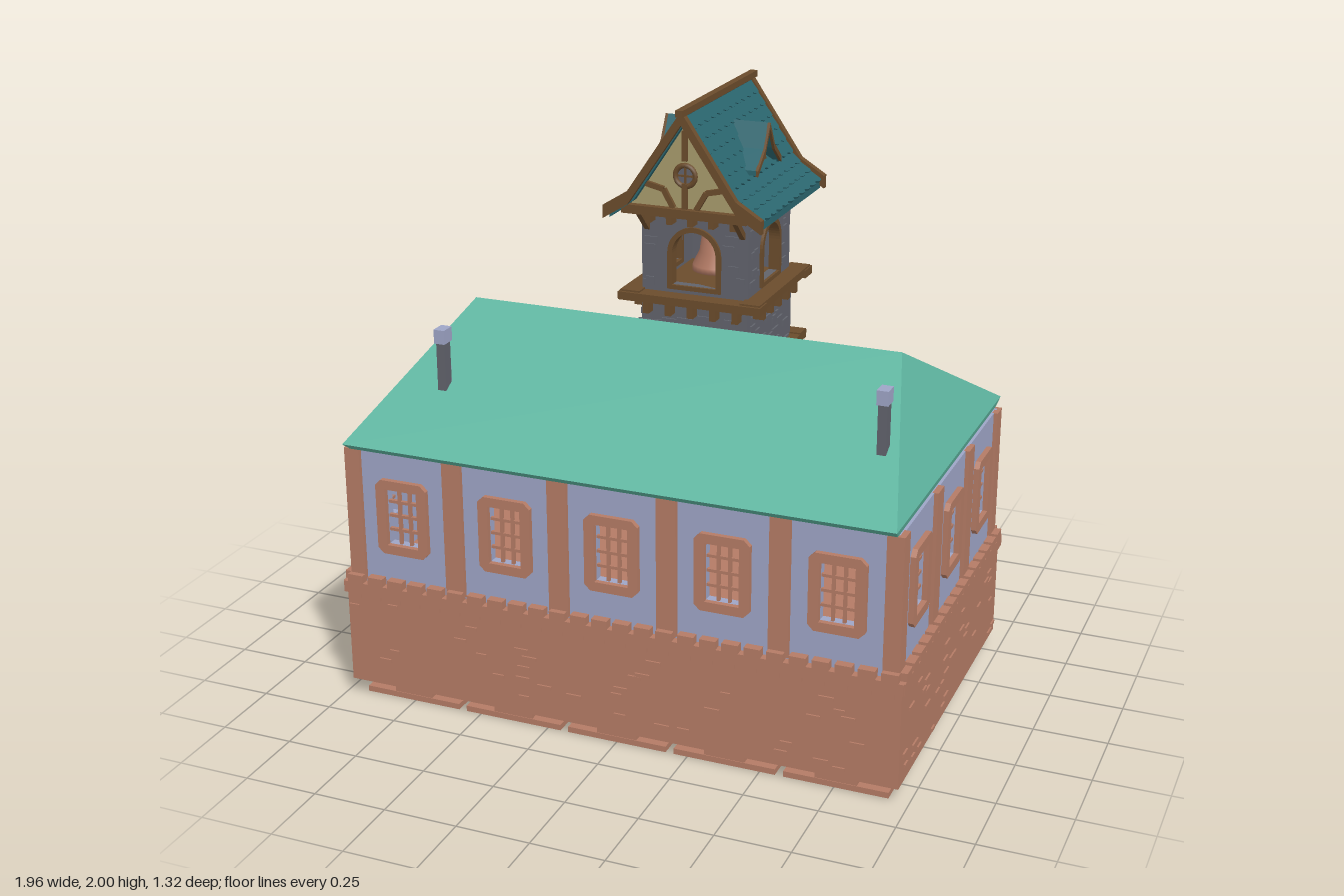
import * as THREE from 'three';
import { mergeGeometries } from 'three/addons/utils/BufferGeometryUtils.js';
import { ConvexGeometry } from 'three/addons/geometries/ConvexGeometry.js';

const mat = (name, color) => new THREE.MeshStandardMaterial({ name, color });
const brick = mat('terracotta', 0xb47b65), plaster = mat('lavender plaster', 0x9ea5c6);
const green = mat('green roof', 0x5fb5a0), stone = mat('dark stone', 0x61636c);
const wood = mat('brown wood', 0x6b4c2c), teal = mat('teal shingles', 0x2b666f);
const tan = mat('tan infill', 0xa89c6c), pale = mat('pale panel', 0xaeb2b0), dark = mat('dark iron', 0x2f3034);
const CZ = 0.04, TZ = -0.29; // depth centres of the hall and the tower
let seed = 7;
const rnd = () => (seed = (seed * 16807) % 2147483647) / 2147483647;

const boxGeo = (w, h, d, x, y, z) => new THREE.BoxGeometry(w, h, d).translate(x, y, z);
function add(parent, name, geo, material) {
  const mesh = new THREE.Mesh(Array.isArray(geo) ? mergeGeometries(geo) : geo, material);
  mesh.name = name;
  parent.add(mesh);
  return mesh;
}
function group(parent, name, x = 0, y = 0, z = 0, ry = 0) {
  const g = new THREE.Group();
  g.name = name;
  g.position.set(x, y, z);
  g.rotation.y = ry;
  parent.add(g);
  return g;
}
const poly = (pts, C = THREE.Shape) => new C(pts.map(p => new THREE.Vector2(...p)));
const rect = (x, y, w, h, C) => poly([[x - w / 2, y - h / 2], [x + w / 2, y - h / 2], [x + w / 2, y + h / 2], [x - w / 2, y + h / 2]], C);
const extrude = (shape, depth, z = 0) =>
  new THREE.ExtrudeGeometry(shape, { depth, bevelEnabled: false, curveSegments: 12 }).translate(0, 0, z);
function arch(r, y0, y1, C = THREE.Shape) {
  const s = new C();
  s.moveTo(-r, y0);
  s.lineTo(r, y0);
  s.lineTo(r, y1 - r);
  s.absarc(0, y1 - r, r, 0, Math.PI, false);
  s.lineTo(-r, y0);
  return s;
}
// thin blocks scattered over a wall that faces +z
function blocks(w, y0, y1, n, bw, bh, skip = () => false) {
  const list = [];
  for (let i = 0; i < n; i++) {
    const x = (rnd() - 0.5) * (w - bw), y = y0 + bh / 2 + rnd() * (y1 - y0 - bh);
    if (!skip(x, y)) list.push(boxGeo(bw * (0.7 + rnd() * 0.5), bh, 0.012, x, y, 0));
  }
  return list;
}
// beam between two points in the xy plane
function beam(a, b, t, d, z) {
  const dx = b[0] - a[0], dy = b[1] - a[1];
  return new THREE.BoxGeometry(Math.hypot(dx, dy), t, d).rotateZ(Math.atan2(dy, dx))
    .translate((a[0] + b[0]) / 2, (a[1] + b[1]) / 2, z);
}

// upper storey wall with windows and pilasters; outer plaster face at z = 0
function hallWall(parent, name, w, n, pos, ry, skipMiddle) {
  const g = group(parent, name, pos[0], 0, pos[1], ry);
  const wall = rect(0, 0.67, w, 0.48), frames = [], bars = [], posts = [];
  for (let i = 0; i < n; i++) {
    const x = (i - (n - 1) / 2) * 0.376, y = 0.685;
    if (skipMiddle && i === (n - 1) / 2) continue;
    wall.holes.push(rect(x, y, 0.115, 0.2, THREE.Path));
    const a = 0.093, b = 0.132, c = 0.02;
    const f = poly([[x - a + c, y - b], [x + a - c, y - b], [x + a, y - b + c], [x + a, y + b - c],
      [x + a - c, y + b], [x - a + c, y + b], [x - a, y + b - c], [x - a, y - b + c]]);
    f.holes.push(rect(x, y, 0.115, 0.2, THREE.Path));
    frames.push(extrude(f, 0.018));
    for (const k of [-1, 1]) bars.push(boxGeo(0.01, 0.2, 0.012, x + k * 0.019, y, -0.01));
    for (const k of [-1, 0, 1]) bars.push(boxGeo(0.115, 0.01, 0.012, x, y + k * 0.05, -0.01));
  }
  for (let i = 0; i <= n; i++) {
    const end = i === 0 ? 1 : i === n ? -1 : 0;
    posts.push(boxGeo(end ? 0.055 : 0.068, 0.47, 0.02, (i - n / 2) * 0.376 + end * 0.01, 0.675, 0.004));
  }
  add(g, 'wall', extrude(wall, 0.03, -0.03), plaster);
  add(g, 'windowFrames', frames, brick);
  add(g, 'windowBars', bars, brick);
  add(g, 'pilasters', posts, brick);
}

// lower storey wall with battlement ledge; outer face at z = 0
function baseWall(parent, name, w, pos, ry, door) {
  const g = group(parent, name, pos[0], 0, pos[1], ry);
  const s = rect(0, 0.245, w, 0.37);
  if (door) {
    const out = [[-w / 2, 0.06], [-0.1, 0.06]];
    for (let i = 0; i <= 10; i++) out.push([-0.1 * Math.cos(i * Math.PI / 10), 0.11 + 0.1 * Math.sin(i * Math.PI / 10)]);
    out.push([0.1, 0.06], [w / 2, 0.06], [w / 2, 0.43], [-w / 2, 0.43]);
    s.setFromPoints(out.map(p => new THREE.Vector2(...p)));
    const ring = arch(0.13, 0.06, 0.24);
    ring.holes.push(arch(0.1, 0.061, 0.21, THREE.Path));
    add(g, 'doorArch', extrude(ring, 0.02), brick);
    add(g, 'palePanels', [-0.76, -0.38, 0.38, 0.76].map(x => boxGeo(0.13, 0.19, 0.009, x, 0.285, 0.007)), pale);
    add(g, 'panelFrames', [-0.76, -0.38, 0.38, 0.76].map(x => boxGeo(0.145, 0.205, 0.006, x, 0.285, 0.002)), brick);
  }
  add(g, 'wall', extrude(s, 0.03, -0.03), brick);
  const ledge = [boxGeo(w + 0.015, 0.04, 0.03, 0, 0.412, -0.004)], n = Math.round(w / 0.075);
  for (let i = 0; i < n; i++) {
    const x = (i + 0.5 - n / 2) * w / n;
    ledge.push(boxGeo(0.055, 0.03, 0.03, x, 0.445, -0.003), boxGeo(0.03, 0.02, 0.02, x, 0.385, -0.004));
  }
  add(g, 'battlement', ledge, brick);
  add(g, 'bricks', blocks(w, 0.07, 0.37, 34, 0.045, 0.012, (x, y) => door && (Math.abs(x) < 0.16 || y > 0.17)), brick);
}

function belfry(parent) {
  const g = group(parent, 'belfry', 0, 0, TZ);
  for (let i = 0; i < 4; i++) {
    const side = group(g, 'belfrySide', 0, 0, 0, i * Math.PI / 2);
    const off = i % 2 ? 0.19 : 0.205, w = i % 2 ? 0.41 : 0.38;
    const wall = rect(0, 1.49, w, 0.3);
    wall.holes.push(arch(0.08, 1.37, 1.56, THREE.Path));
    add(side, 'wall', extrude(wall, 0.03, off - 0.03), stone);
    const ring = arch(0.095, 1.355, 1.575);
    ring.holes.push(arch(0.078, 1.37, 1.558, THREE.Path));
    add(side, 'archFrame', extrude(ring, 0.04, off - 0.03), wood);
    add(side, 'stones', blocks(w, 1.35, 1.6, 22, 0.04, 0.02, (x, y) => Math.abs(x) < 0.12 && y < 1.59)
      .map(b => b.translate(0, 0, off)), stone);
    const z = off + 0.02;
    add(side, 'corbels', [-2, -1, 0, 1, 2].map(k => boxGeo(0.02, 0.035, 0.05, k * 0.075, 1.605, z)), wood);
    add(side, 'lowerCorbels', [-2, -1, 0, 1, 2].map(k => boxGeo(0.022, 0.04, 0.04, k * 0.08, 1.29, z + 0.005)), wood);
    add(side, 'ledgeBeam', boxGeo(0.51, 0.028, 0.07, 0, 1.327 + (i % 2) * 0.006, z + 0.005), wood);
  }
  add(g, 'floor', boxGeo(0.38, 0.02, 0.41, 0, 1.335, 0), wood);
  add(g, 'bell', new THREE.LatheGeometry([[0, 1.38], [0.07, 1.38], [0.085, 1.375], [0.083, 1.395], [0.06, 1.44], [0.05, 1.51],
    [0.035, 1.54], [0, 1.55]].map(p => new THREE.Vector2(...p)), 24), brick);
  add(g, 'bellYoke', boxGeo(0.36, 0.025, 0.03, 0, 1.565, 0), wood);
}

function towerRoof(parent) {
  const g = group(parent, 'towerRoof', 0, 0, TZ);
  const P = [[0, 1.965], [0.175, 1.7], [0.262, 1.635]], t = 0.025;
  const mirror = pts => pts.map(p => [-p[0], p[1]]).reverse();
  const band = (pts, th) => poly([...pts, ...mirror(pts).slice(0, -1),
    ...mirror(pts.map(p => [p[0], p[1] - th])).reverse().slice(0).map(p => [p[0], p[1]]).reverse(),
    ...pts.map(p => [p[0], p[1] - th]).slice(1)].length ? outline(pts, th) : []);
  function outline(pts, th) {
    const top = [...mirror(pts), ...pts.slice(1)];
    return [...top, ...top.map(p => [p[0], p[1] - th]).reverse()];
  }
  add(g, 'roofSlab', extrude(band(P, t), 0.62, -0.31), teal);
  // rows of scalloped shingles down both slopes
  const strip = new THREE.Shape();
  strip.moveTo(-0.31, 0.055);
  for (let i = 0; i < 11; i++) {
    const x = -0.31 + i * 0.62 / 11, s = 0.62 / 11;
    strip.lineTo(x, 0.004);
    strip.quadraticCurveTo(x + s / 2, -0.016, x + s, 0.004);
  }
  strip.lineTo(0.31, 0.055);
  const curve = new THREE.CurvePath();
  for (let i = 0; i < 2; i++) curve.add(new THREE.LineCurve(new THREE.Vector2(...P[i]), new THREE.Vector2(...P[i + 1])));
  for (const s of [1, -1]) {
    const rows = [];
    for (let i = 1; i <= 9; i++) {
      const p = curve.getPointAt(i / 9), q = curve.getPointAt((i - 0.5) / 9);
      const slope = Math.atan2(q.y - p.y, p.x - q.x) - 0.08;
      rows.push(new THREE.ExtrudeGeometry(strip, { depth: 0.009, bevelEnabled: false, curveSegments: 3 })
        .rotateX(slope - Math.PI / 2).translate(0, p.y + 0.003, p.x));
    }
    add(group(g, 'shingleSide', 0, 0, 0, s * Math.PI / 2), 'shingles', rows, teal);
  }
  // gable ends with barge boards and timber framing
  const edge = [[0, 1.99], [0.19, 1.71], [0.278, 1.655]];
  for (const ry of [0, Math.PI]) {
    const e = group(g, 'gable', 0, 0, 0, ry);
    add(e, 'bargeBoard', extrude(poly(outline(edge, 0.045)), 0.025, 0.303), wood);
    add(e, 'infill', extrude(poly([[-0.21, 1.645], [0.21, 1.645], [0, 1.95]]), 0.02, 0.265), tan);
    const timbers = [boxGeo(0.44, 0.03, 0.05, 0, 1.645, 0.285), boxGeo(0.018, 0.1, 0.02, 0, 1.87, 0.288),
      boxGeo(0.018, 0.09, 0.02, 0, 1.7, 0.288)];
    for (const s of [1, -1]) {
      timbers.push(beam([s * 0.04, 1.66], [s * 0.075, 1.72], 0.018, 0.02, 0.288), beam([s * 0.075, 1.72], [s * 0.14, 1.735], 0.018, 0.02, 0.288));
      timbers.push(new THREE.BoxGeometry(0.018, 0.12, 0.018).rotateX(0.8).translate(s * 0.17, 1.6, 0.245));
    }
    add(e, 'timbers', timbers, wood);
    add(e, 'roundFrame', new THREE.TorusGeometry(0.035, 0.009, 6, 20).translate(0, 1.77, 0.288), wood);
    add(e, 'roundPane', new THREE.CircleGeometry(0.034, 20).translate(0, 1.77, 0.287), stone);
    add(e, 'roundBars', [boxGeo(0.07, 0.006, 0.006, 0, 1.77, 0.289), boxGeo(0.006, 0.07, 0.006, 0, 1.77, 0.289)], wood);
  }
  add(g, 'ceiling', boxGeo(0.42, 0.015, 0.55, 0, 1.637, 0), wood);
  add(g, 'ridgePole', boxGeo(0.025, 0.022, 0.69, 0, 1.985, 0), wood);
  // dormers on both slopes
  for (const s of [1, -1]) {
    const d = group(g, 'dormer', 0, 0, 0, s * Math.PI / 2);
    const D = [[0, 1.9], [0.045, 1.82], [0.115, 1.762]];
    add(d, 'dormerRoof', extrude(poly(outline(D, 0.016)), 0.15, 0.03), teal);
    add(d, 'dormerEdge', extrude(poly(outline(D, 0.02)), 0.01, 0.178), wood);
    add(d, 'dormerFace', extrude(poly([[-0.07, 1.76], [0.07, 1.76], [0, 1.88]]), 0.08, 0.07), wood);
    add(d, 'dormerPane', extrude(arch(0.025, 1.77, 1.84), 0.006, 0.148), pale);
  }
}

export function createModel() {
  const root = new THREE.Group();
  root.name = 'townHall';
  // lower storey
  const base = group(root, 'lowerStorey');
  baseWall(base, 'baseFront', 1.94, [0, 0.632], 0);
  baseWall(base, 'baseBack', 1.94, [0, -0.553], Math.PI, true);
  baseWall(base, 'baseLeft', 1.18, [0.97, CZ], Math.PI / 2);
  baseWall(base, 'baseRight', 1.18, [-0.97, CZ], -Math.PI / 2);
  add(base, 'ceiling', boxGeo(1.92, 0.02, 1.16, 0, 0.42, CZ), brick);
  // foundation planks and blocks
  const planks = [], beams = [];
  for (let i = 0; i < 5; i++) for (let j = 0; j < 9; j++)
    planks.push(boxGeo(0.35, 0.02, 0.105, (i - 2) * 0.378, 0.012 + (j % 2) * 0.004, CZ + (j - 4) * 0.127));
  for (let i = 0; i < 5; i++) for (let j = 0; j < 3; j++) {
    beams.push(boxGeo(0.14, 0.04, 0.36, (i - 2) * 0.378, 0.042, CZ + (j - 1) * 0.378));
    beams.push(new THREE.BoxGeometry(0.4, 0.02, 0.03).rotateY(0.7).translate((i - 2) * 0.378, 0.011, CZ + (j - 1) * 0.378));
  }
  add(base, 'foundationPlanks', planks, brick);
  add(base, 'foundationBlocks', beams, brick);
  add(base, 'foundationFloor', boxGeo(1.92, 0.012, 1.16, 0, 0.066, CZ), brick);

  // upper storey
  const hall = group(root, 'upperStorey');
  hallWall(hall, 'hallFront', 1.89, 5, [0, 0.61], 0);
  hallWall(hall, 'hallBack', 1.89, 5, [0, -0.535], Math.PI, true);
  hallWall(hall, 'hallLeft', 1.145, 3, [0.945, CZ], Math.PI / 2);
  hallWall(hall, 'hallRight', 1.145, 3, [-0.945, CZ], -Math.PI / 2);

  // hipped roof
  const pts = [];
  for (const s of [1, -1]) {
    pts.push(new THREE.Vector3(s * 0.76, 1.277, 0.036));
    for (const z of [0.658, -0.588]) pts.push(new THREE.Vector3(s * 0.942, 0.936, z));
    for (const z of [0.625, -0.555]) pts.push(new THREE.Vector3(s * 0.935, 0.91, z));
  }
  add(root, 'hippedRoof', new ConvexGeometry(pts), green);
  for (const x of [-0.7, 0.812]) {
    const c = group(root, 'chimney', x, 0, 0.39);
    add(c, 'shaft', boxGeo(0.03, 0.2, 0.04, 0, 1.15, 0), stone);
    add(c, 'foot', boxGeo(0.028, 0.11, 0.042, 0, 1.115, -0.002), plaster);
    add(c, 'cap', boxGeo(0.038, 0.048, 0.054, 0, 1.26, 0), plaster);
  }

  // bell tower
  const tower = group(root, 'bellTower');
  add(tower, 'shaft', boxGeo(0.38, 0.84, 0.44, 0, 0.9, -0.3), stone);
  add(tower, 'backPanel', boxGeo(0.48, 0.3, 0.04, 0, 0.63, -0.535), stone);
  const faces = [[0, -0.08, 0], [0, -0.52, Math.PI], [0.19, -0.3, Math.PI / 2], [-0.19, -0.3, -Math.PI / 2]];
  for (const [x, z, ry] of faces)
    add(group(tower, 'shaftFace', x, 0, z, ry), 'stones', blocks(0.4, 1, 1.28, 32, 0.05, 0.022), stone);
  add(group(tower, 'panelFace', 0, 0, -0.556, Math.PI), 'stones', blocks(0.48, 0.49, 0.77, 34, 0.055, 0.025), stone);
  const ledge = [boxGeo(0.46, 0.028, 0.06, 0, 1.085, -0.545), boxGeo(0.5, 0.028, 0.08, 0, 0.79, -0.585)];
  for (const s of [1, -1]) ledge.push(boxGeo(0.05, 0.028, 0.36, s * 0.205, 1.08, -0.4));
  for (let k = -3; k <= 3; k++) ledge.push(boxGeo(0.022, 0.04, 0.04, k * 0.065, 1.05, -0.535),
    boxGeo(0.022, 0.05, 0.05, k * 0.07, 0.755, -0.57));
  add(tower, 'ledges', ledge, wood);
  belfry(tower);
  towerRoof(tower);

  // clock behind the eaves
  const clock = group(root, 'clock', 0, 0.945, -0.655, Math.PI);
  add(clock, 'dial', new THREE.CylinderGeometry(0.078, 0.078, 0.008, 32).rotateX(Math.PI / 2), pale);
  const marks = [];
  for (let i = 0; i < 12; i++) marks.push(boxGeo(0.012, 0.022, 0.012, 0, 0.075, 0).rotateZ(i * Math.PI / 6));
  marks.push(boxGeo(0.008, 0.06, 0.006, 0, 0.026, 0.005), boxGeo(0.009, 0.045, 0.006, 0, 0.018, 0.005).rotateZ(-1.4));
  add(clock, 'marksAndHands', marks, dark);
  return root;
}
